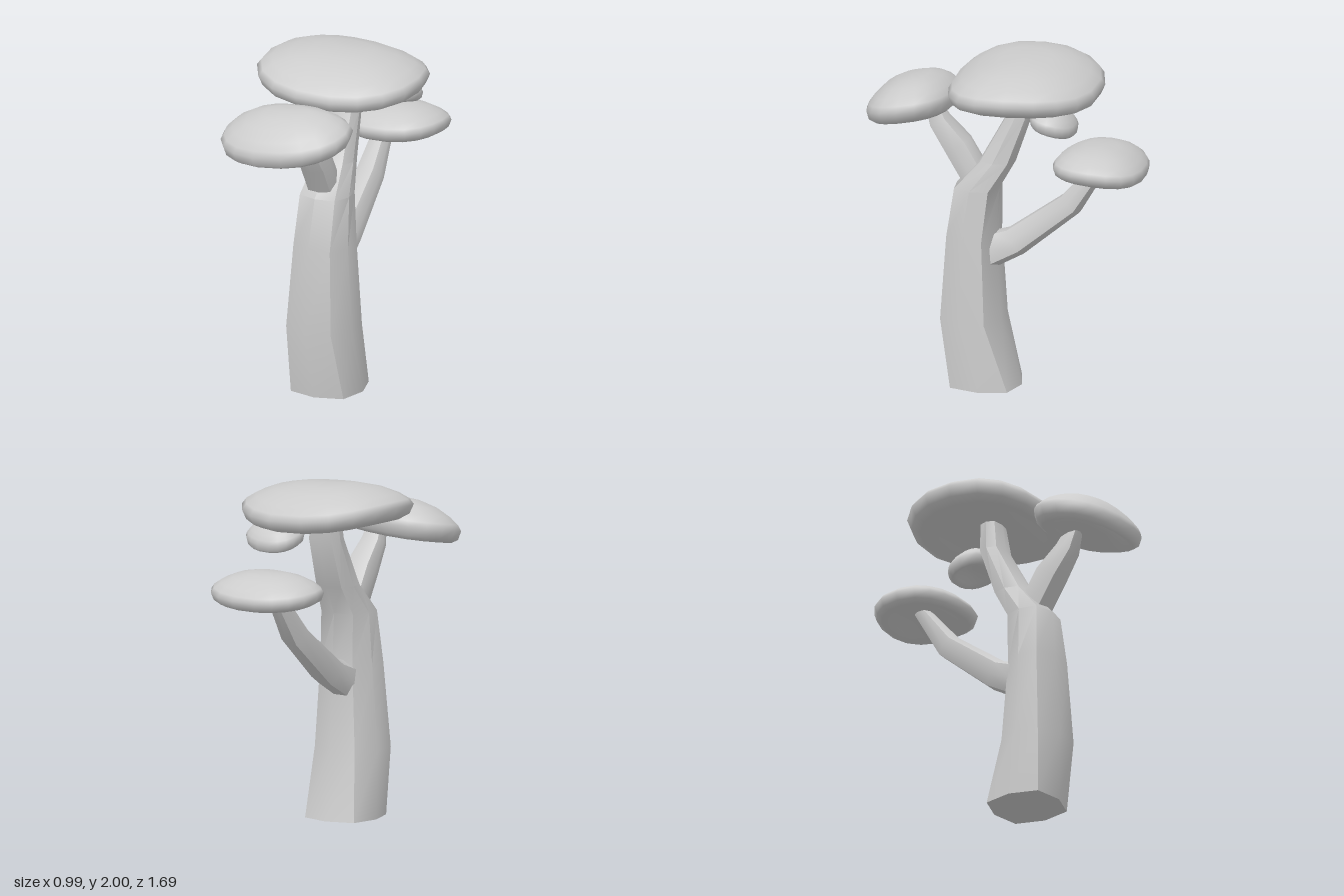
import * as THREE from 'three';
import { mergeVertices, toCreasedNormals } from 'three/addons/utils/BufferGeometryUtils.js';

const material = new THREE.MeshStandardMaterial({ color: 0xcccccc });
const { degToRad } = THREE.MathUtils;

// Skin a stack of closed rings; point(ring, angle) -> [x, y, z]
function loft(rings, sides, point) {
  const pos = [], index = [];
  for (let i = 0; i < rings; i++)
    for (let j = 0; j < sides; j++) pos.push(...point(i, (j / sides) * Math.PI * 2));
  for (let i = 0; i < rings - 1; i++)
    for (let j = 0; j < sides; j++) {
      const a = i * sides + j, b = i * sides + ((j + 1) % sides);
      index.push(a, a + sides, b, b, a + sides, b + sides);
    }
  const geo = new THREE.BufferGeometry();
  geo.setAttribute('position', new THREE.Float32BufferAttribute(pos, 3));
  geo.setIndex(index);
  return mergeVertices(geo, 1e-5);
}

function addMesh(group, name, geo) {
  const mesh = new THREE.Mesh(geo, material);
  mesh.name = name;
  group.add(mesh);
}

// Eight-sided limb with four sharp corners.
// Stations: [x, y, z, half width, half depth, tilt, twist], angles in degrees
function limb(stations) {
  const first = [...stations[0]], last = [...stations.at(-1)];
  first[3] = first[4] = last[3] = last[4] = 0; // closed ends
  const rows = [first, ...stations, last];
  const geo = loft(rows.length, 8, (i, a) => {
    const [x, y, z, rx, rd, tilt, twist] = rows[i];
    const t = degToRad(tilt), b = a + degToRad(twist);
    const k = 1 + 0.12 * Math.sin(2 * a) ** 2; // bulge towards the corners
    const u = rx * k * Math.cos(b), v = rd * k * Math.sin(b);
    return [x + u, y + v * Math.sin(t), z + v * Math.cos(t)];
  });
  return toCreasedNormals(geo, 0.65);
}

// Cushion profile from the hollow underside over the rim to the domed top: [radius, height]
const cushion = [
  [0, 0.3], [0.35, 0.25], [0.65, 0.11], [0.84, 0], [0.95, 0.11], [1, 0.35],
  [0.95, 0.5], [0.83, 0.67], [0.62, 0.86], [0.35, 0.98], [0, 1],
];

// Smooth leaf pad, slightly squared in plan, sheared to lean in x and z,
// with the rim raised at the sides and lowered at front and back (saddle)
function pad({ x, z, rx, rz, y0, y1, leanX, leanZ, saddle, phase }) {
  const soft = (v) => Math.sign(v) * Math.abs(v) ** 0.86;
  const geo = loft(cushion.length, 18, (i, a) => {
    const [r, h] = cushion[i];
    const wobble = 1 + 0.02 * Math.sin(3 * a + phase);
    const dx = rx * r * wobble * soft(Math.cos(a));
    const dz = rz * r * wobble * soft(Math.sin(a));
    const lift = saddle * r * r * Math.cos(2 * a);
    return [x + dx, y0 + h * (y1 - y0) + leanX * dx + leanZ * dz + lift, z + dz];
  });
  geo.computeVertexNormals();
  return geo;
}

export function createModel() {
  const tree = new THREE.Group();
  tree.name = 'tree';

  addMesh(tree, 'trunk', limb([
    [0.012, 0, 0.135, 0.212, 0.215, 0, 0],
    [0.01, 0.4, 0.208, 0.202, 0.18, 0, 12],
    [0.015, 0.9, 0.205, 0.168, 0.147, 0, 14],
    [0.017, 1.2, 0.18, 0.149, 0.133, 0, 7],
    [0.015, 1.37, 0.058, 0.115, 0.105, 0, 5],
    [0.01, 1.66, -0.07, 0.1, 0.073, 0, 5],
    [0, 1.88, -0.085, 0.07, 0.06, 0, 5],
  ]));

  addMesh(tree, 'frontBranch', limb([
    [0.005, 1.268, 0.205, 0.09, 0.085, -40, 0],
    [0.005, 1.43, 0.302, 0.09, 0.084, -34, 0],
    [0, 1.57, 0.415, 0.07, 0.062, -30, 0],
    [0, 1.7, 0.465, 0.045, 0.04, -15, 0],
  ]));

  addMesh(tree, 'backBranch', limb([
    [0.01, 0.815, 0.085, 0.11, 0.108, 85, 15],
    [0.015, 0.88, -0.05, 0.095, 0.088, 56, 15],
    [0.025, 1.14, -0.38, 0.075, 0.072, 45, 15],
    [0.04, 1.42, -0.58, 0.045, 0.04, 38, 15],
  ]));

  addMesh(tree, 'topCanopy', pad({
    x: -0.005, z: -0.095, rx: 0.495, rz: 0.445, y0: 1.765, y1: 1.995,
    leanX: -0.04, leanZ: -0.02, saddle: 0.028, phase: 0.6,
  }));
  addMesh(tree, 'frontCanopy', pad({
    x: -0.055, z: 0.585, rx: 0.395, rz: 0.26, y0: 1.59, y1: 1.815,
    leanX: 0.08, leanZ: -0.19, saddle: 0.01, phase: 2,
  }));
  addMesh(tree, 'backCanopy', pad({
    x: 0.08, z: -0.577, rx: 0.335, rz: 0.27, y0: 1.355, y1: 1.53,
    leanX: 0.02, leanZ: 0.05, saddle: 0.012, phase: 4,
  }));
  addMesh(tree, 'smallCanopy', pad({
    x: 0.2, z: -0.32, rx: 0.175, rz: 0.135, y0: 1.645, y1: 1.79,
    leanX: 0.03, leanZ: 0.23, saddle: 0.005, phase: 1,
  }));

  return tree;
}
